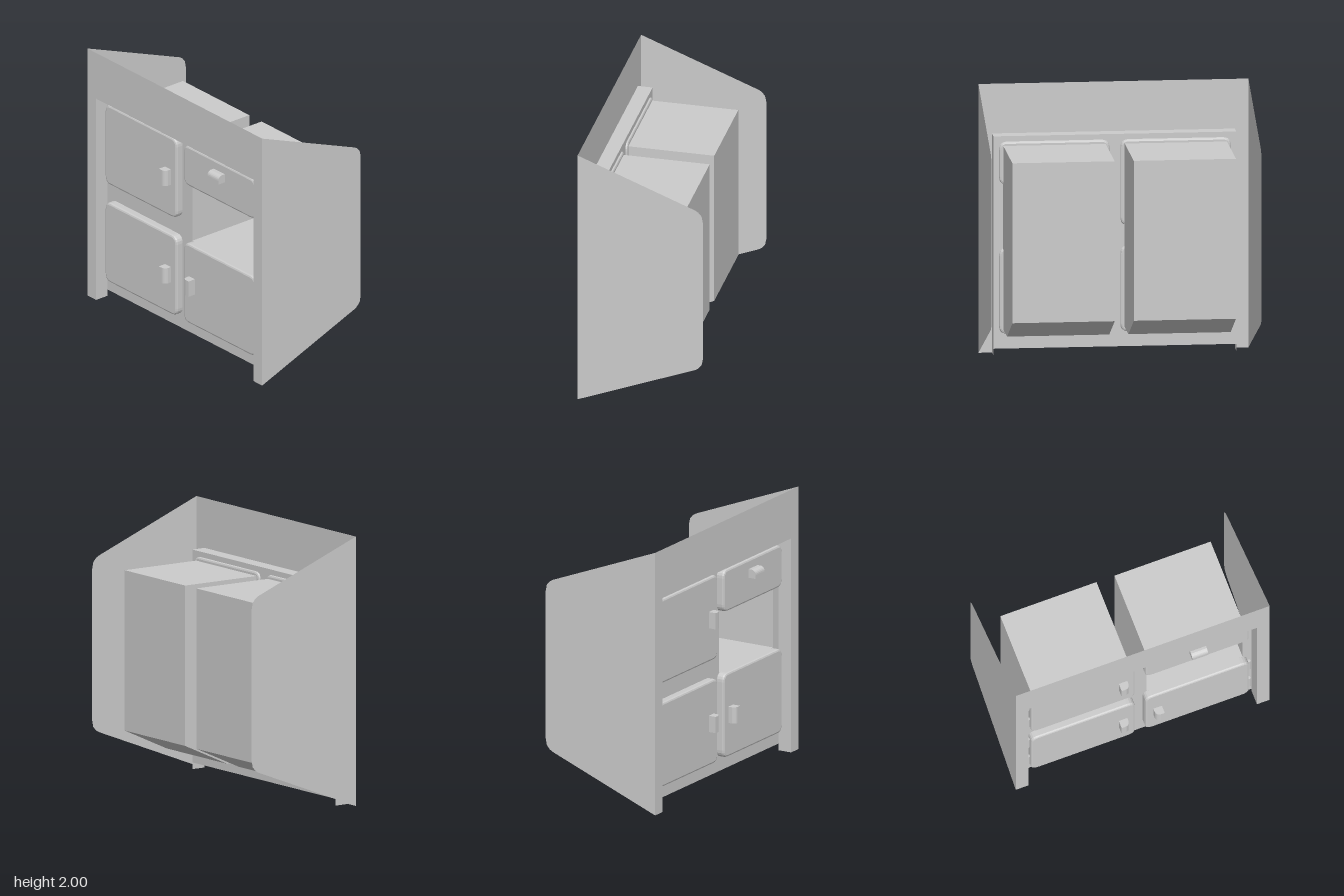
import * as THREE from 'three';

const FRONT = -0.47; // plane of the face frame
const BACK = -0.36;  // plane of the recessed panel
const grey = new THREE.MeshStandardMaterial({ color: 0xcccccc });
const sheet = new THREE.MeshStandardMaterial({ color: 0xcccccc, side: THREE.DoubleSide });

const shapeOf = (pts) => new THREE.Shape(pts.map(([a, b]) => new THREE.Vector2(a, b)));
const rect = (u0, v0, u1, v1) => [[u0, v0], [u1, v0], [u1, v1], [u0, v1]];

function add(parent, name, geometry, material, x = 0, y = 0, z = 0) {
  const mesh = new THREE.Mesh(geometry, material);
  mesh.name = name;
  mesh.position.set(x, y, z);
  parent.add(mesh);
  return mesh;
}

// Flat sheet drawn in (z, y), facing -x
function sheetX(pts, holes = []) {
  const shape = shapeOf(pts);
  shape.holes = holes.map(shapeOf);
  return new THREE.ShapeGeometry(shape).rotateY(-Math.PI / 2);
}

// Wall that follows an (x, y) polyline from z0 to z1
function strip(pts, z0, z1) {
  const pos = [];
  for (let i = 0; i + 1 < pts.length; i++) {
    const [a, b] = [pts[i], pts[i + 1]];
    pos.push(...a, z0, ...b, z0, ...b, z1, ...a, z0, ...b, z1, ...a, z1);
  }
  const g = new THREE.BufferGeometry();
  g.setAttribute('position', new THREE.Float32BufferAttribute(pos, 3));
  g.computeVertexNormals();
  return g;
}

// Rounded slab with a bevelled face, spanning z0..z1 and y0..y1
function doorGeometry(z0, y0, z1, y1) {
  const r = 0.06, s = new THREE.Shape();
  s.moveTo(z0 + r, y0);
  s.lineTo(z1 - r, y0).quadraticCurveTo(z1, y0, z1, y0 + r);
  s.lineTo(z1, y1 - r).quadraticCurveTo(z1, y1, z1 - r, y1);
  s.lineTo(z0 + r, y1).quadraticCurveTo(z0, y1, z0, y1 - r);
  s.lineTo(z0, y0 + r).quadraticCurveTo(z0, y0, z0 + r, y0);
  const g = new THREE.ExtrudeGeometry(s, {
    depth: 0.045, curveSegments: 5, bevelSize: 0.015, bevelOffset: -0.015,
    bevelThickness: 0.015, bevelSegments: 2,
  });
  return g.rotateY(-Math.PI / 2);
}

// Cup pull: a profile rounded on its +y side, running along z
function handleGeometry() {
  const s = new THREE.Shape();
  s.moveTo(0.01, -0.033);
  s.lineTo(0.01, 0.033);
  s.lineTo(-0.03, 0.033);
  s.quadraticCurveTo(-0.06, 0.025, -0.06, -0.005);
  s.lineTo(-0.06, -0.033);
  return new THREE.ExtrudeGeometry(s, { depth: 0.124, bevelEnabled: false, curveSegments: 5 })
    .translate(0, 0, -0.062);
}

export function createModel() {
  const group = new THREE.Group();
  group.name = 'cabinetUnit';

  // Face frame: header and two stiles
  add(group, 'faceFrame', sheetX([
    [-0.99, 0], [-0.89, 0], [-0.89, 1.63], [0.89, 1.63],
    [0.89, 0], [0.99, 0], [0.99, 2], [-0.99, 2],
  ]), sheet, FRONT);

  // Side plates with softened back corners
  const plate = new THREE.ShapeGeometry(shapeOf([
    [-0.47, 0], [0.41, 0.345], [0.435, 0.36], [0.46, 0.39], [0.47, 0.44],
    [0.47, 1.56], [0.46, 1.61], [0.435, 1.64], [0.41, 1.655], [-0.47, 2],
  ]));

  // Recess: top, side walls and panel with the open niche
  add(group, 'recessTop', strip([[BACK, 1.63], [FRONT, 1.63]], -0.89, 0.89), sheet);
  add(group, 'recessPanel', sheetX(rect(-0.89, 0.05, 0.89, 1.63),
    [rect(0.07, 0.8, 0.82, 1.5)]), sheet, BACK);
  const wall = new THREE.PlaneGeometry(BACK - FRONT, 1.63);

  // Storage compartments behind the panel
  const profile = [[BACK, 1.56], [0.3, 1.56], [0.3, 0.37], [-0.08, 0.195], [BACK, 0.195]];
  const cheek = new THREE.ShapeGeometry(shapeOf(profile));

  for (const [side, m] of [['left', 1], ['right', -1]]) {
    add(group, side + 'SidePlate', plate, sheet, 0, 0, m * 0.99);
    add(group, side + 'RecessWall', wall, sheet, (FRONT + BACK) / 2, 0.815, m * 0.89);
    add(group, side + 'CompartmentShell', strip(profile, m * 0.07, m * 0.82), sheet);
    add(group, side + 'CompartmentInnerCheek', cheek, sheet, 0, 0, m * 0.07);
    add(group, side + 'CompartmentOuterCheek', cheek, sheet, 0, 0, m * 0.82);
  }
  add(group, 'nicheShelf', strip([[BACK, 0.8], [0.3, 0.8]], 0.07, 0.82), sheet);

  // Doors with upright pulls near the middle and hinges on the outer edge
  const doors = [['upperDoor', -1, 0.95, 1.59], ['lowerDoor', -1, 0.16, 0.8], ['lowerNicheDoor', 1, 0.16, 0.8]];
  for (const [name, m, y0, y1] of doors) {
    const mid = (y0 + y1) / 2;
    const [z0, z1] = m > 0 ? [0.04, 0.85] : [-0.85, -0.04];
    add(group, name, doorGeometry(z0, y0, z1, y1), grey, BACK);
    add(group, name + 'Handle', handleGeometry().rotateX(-m * Math.PI / 2), grey, -0.42, mid, m * 0.135);
    for (const dy of [-0.18, 0.18]) {
      add(group, name + 'Hinge', new THREE.CylinderGeometry(0.012, 0.012, 0.16, 8), grey, -0.385, mid + dy, m * 0.86);
    }
  }

  // Drawer above the niche
  add(group, 'drawer', doorGeometry(0.04, 1.27, 0.85, 1.59), grey, BACK);
  add(group, 'drawerHandle', handleGeometry(), grey, -0.42, 1.485, 0.445);

  return group;
}
